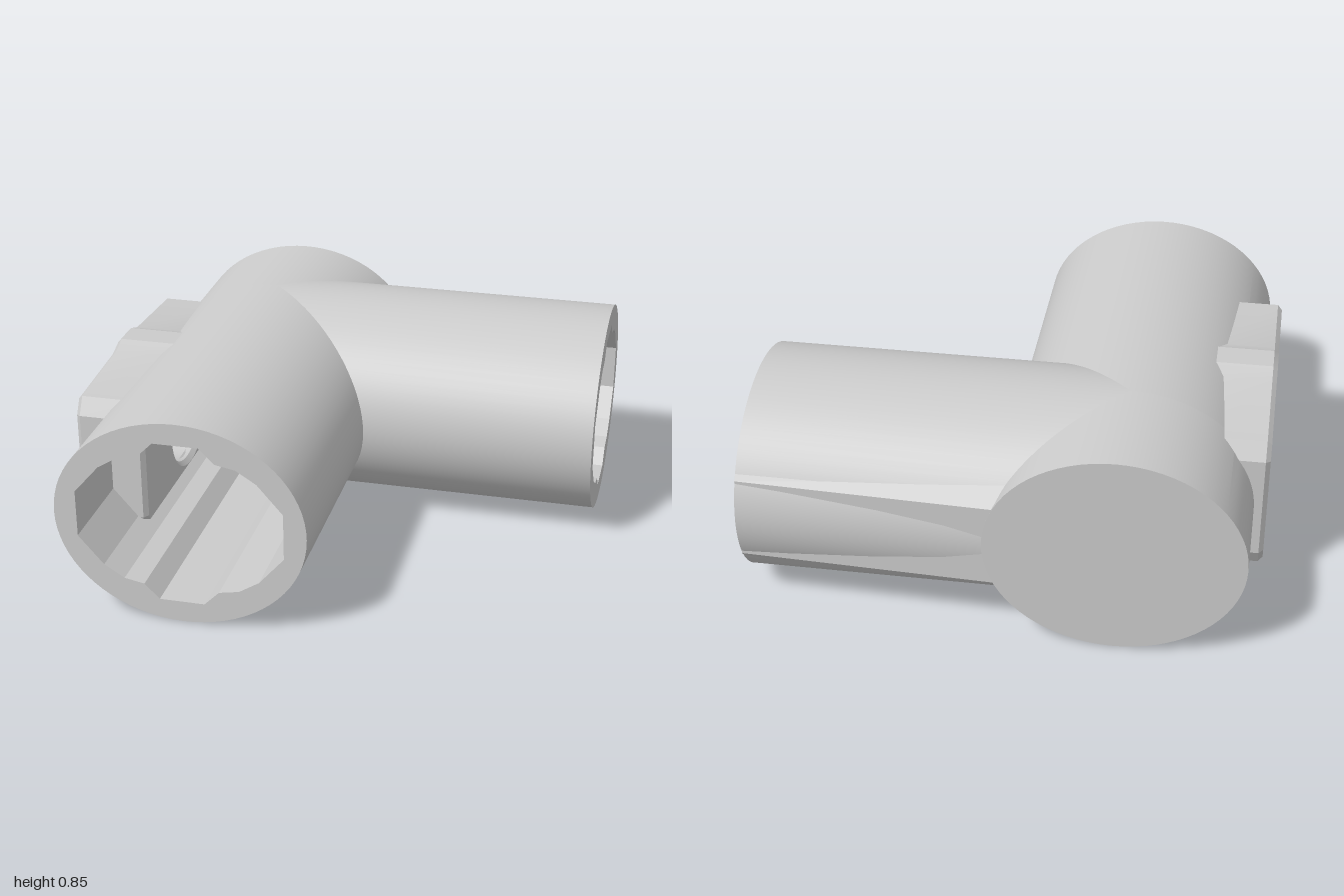
import * as THREE from 'three';
import { toCreasedNormals } from 'three/addons/utils/BufferGeometryUtils.js';

const CX = -0.45, CY = 0.4225, CZ = -0.465; // where the two pipe axes cross
const END = 0.965, BACK = -0.965, BORE_BACK = CZ - 0.41;

// Oval outside and notched bore, both counter-clockwise with points on the axes
const oval = Array.from({ length: 72 }, (_, i) => {
  const t = (i / 72) * Math.PI * 2;
  return [0.5 * Math.cos(t), CY * Math.sin(t)];
});
const quarter = [[0.41, 0], [0.41, 0.095], [0.31, 0.21], [0.23, 0.26], [0.15, 0.275], [0.09, 0.335], [0, 0.335]];
const upper = [...quarter, ...quarter.slice(0, -1).reverse().map(([a, b]) => [-a, b])];
const bore = [...upper, ...upper.slice(1, -1).reverse().map(([a, b]) => [a, -b])];

const toShape = (pts) => new THREE.Shape(pts.map(([a, b]) => new THREE.Vector2(a, b)));

// Sweeps a profile along z; from and to give the (mitred) ends of every strip
function sweep(profile, from, to, inward, crease) {
  const pos = [];
  profile.forEach((p, i) => {
    const q = profile[(i + 1) % profile.length];
    const mid = [(p[0] + q[0]) / 2, (p[1] + q[1]) / 2];
    const [p0, q0, p1, q1] = [from(p, mid), from(q, mid), to(p, mid), to(q, mid)];
    if (p1 - p0 < 1e-4 && q1 - q0 < 1e-4) return;
    const a = [...p, p0], b = [...q, q0], c = [...q, q1], d = [...p, p1];
    const tris = inward ? [a, c, b, a, d, c] : [a, b, c, a, c, d];
    tris.forEach((v) => pos.push(...v));
  });
  const g = new THREE.BufferGeometry();
  g.setAttribute('position', new THREE.Float32BufferAttribute(pos, 3));
  return toCreasedNormals(g, crease);
}

export function createModel() {
  const model = new THREE.Group();
  const material = new THREE.MeshStandardMaterial({ color: 0xcccccc });
  const sheet = new THREE.MeshStandardMaterial({ color: 0xcccccc, side: THREE.DoubleSide });
  const add = (name, geometry, parent, mat = material) => {
    const mesh = new THREE.Mesh(geometry, mat);
    mesh.name = name;
    parent.add(mesh);
    return mesh;
  };

  // Main pipe along z, mitred around the branch and left open under the clip
  const main = new THREE.Group();
  main.name = 'mainPipe';
  main.position.set(CX, CY, 0);
  model.add(main);
  const underClip = (m) => m[0] < 0 && Math.abs(m[1]) < 0.23;
  const frontFrom = (p, m) => (underClip(m) ? 0.5 : CZ + Math.max(p[0], 0));
  const backTo = (p, m) => (underClip(m) ? -0.5 : CZ - Math.max(p[0], 0));
  for (const [name, profile, back, inward, crease] of [
    ['Outside', oval, BACK, false, 0.5], ['Bore', bore, BORE_BACK, true, 0.15],
  ]) {
    add('mainFront' + name, sweep(profile, frontFrom, () => END, inward, crease), main);
    add('mainBack' + name, sweep(profile, () => back, backTo, inward, crease), main);
  }

  // Flat ends: open rim in front, closed wall at the back
  const rimShape = toShape(oval);
  rimShape.holes.push(toShape(bore));
  const rim = new THREE.ShapeGeometry(rimShape);
  add('mainRim', rim, main).position.z = END;
  const cap = add('backCap', new THREE.ShapeGeometry(toShape(oval)), main);
  cap.rotation.y = Math.PI;
  cap.position.z = BACK;
  add('boreEnd', new THREE.ShapeGeometry(toShape(bore)), main).position.z = BORE_BACK;

  // Branch pipe: the same section turned to run along +x
  const branch = new THREE.Group();
  branch.name = 'branchPipe';
  branch.position.set(0, CY, CZ);
  branch.rotation.y = Math.PI / 2;
  model.add(branch);
  const mitre = (p) => CX + Math.abs(p[0]);
  add('branchOutside', sweep(oval, mitre, () => 1, false, 0.5), branch);
  add('branchBore', sweep(bore, mitre, () => 1, true, 0.15), branch);
  add('branchRim', rim, branch).position.z = 1;

  // Shallow flat along the back of the branch, fading out towards its end
  const inner = [[-0.04, 0.24, -0.87], [0.01, 0.17, -0.964], [0.01, -0.17, -0.964], [-0.04, -0.24, -0.87]];
  const outer = [[1, 0.24, -0.87], [1, 0.17, -0.928], [1, -0.17, -0.928], [1, -0.24, -0.87]];
  const flat = [];
  for (let i = 0; i < 3; i++) {
    for (const v of [inner[i], outer[i], outer[i + 1], inner[i], outer[i + 1], inner[i + 1]]) {
      flat.push(v[0], v[1] + CY, v[2]);
    }
  }
  const flatGeometry = new THREE.BufferGeometry();
  flatGeometry.setAttribute('position', new THREE.Float32BufferAttribute(flat, 3));
  flatGeometry.computeVertexNormals();
  add('branchFlat', flatGeometry, model, sheet);

  // Clip block through the right wall, with a raised middle and a round hole
  const corner = [[0.57, 0.215], [0.53, 0.285], [0.13, 0.31], [0.06, 0.335]];
  const top = [...corner, ...corner.map(([a, b]) => [-a, b]).reverse()];
  const clipShape = toShape([...top, ...top.map(([a, b]) => [-a, -b])]);
  clipShape.holes.push(new THREE.Path().absellipse(0, -0.015, 0.22, 0.2, 0, Math.PI * 2, true));
  const bevel = 0.018;
  const clip = new THREE.ExtrudeGeometry(clipShape, {
    depth: 0.28 - 2 * bevel, bevelThickness: bevel, bevelSize: bevel, bevelOffset: -bevel,
    bevelSegments: 1, curveSegments: 48,
  });
  clip.rotateY(Math.PI / 2);
  clip.translate(-1 + bevel, CY, 0);
  add('clip', toCreasedNormals(clip, 0.3), model);

  return model;
}
